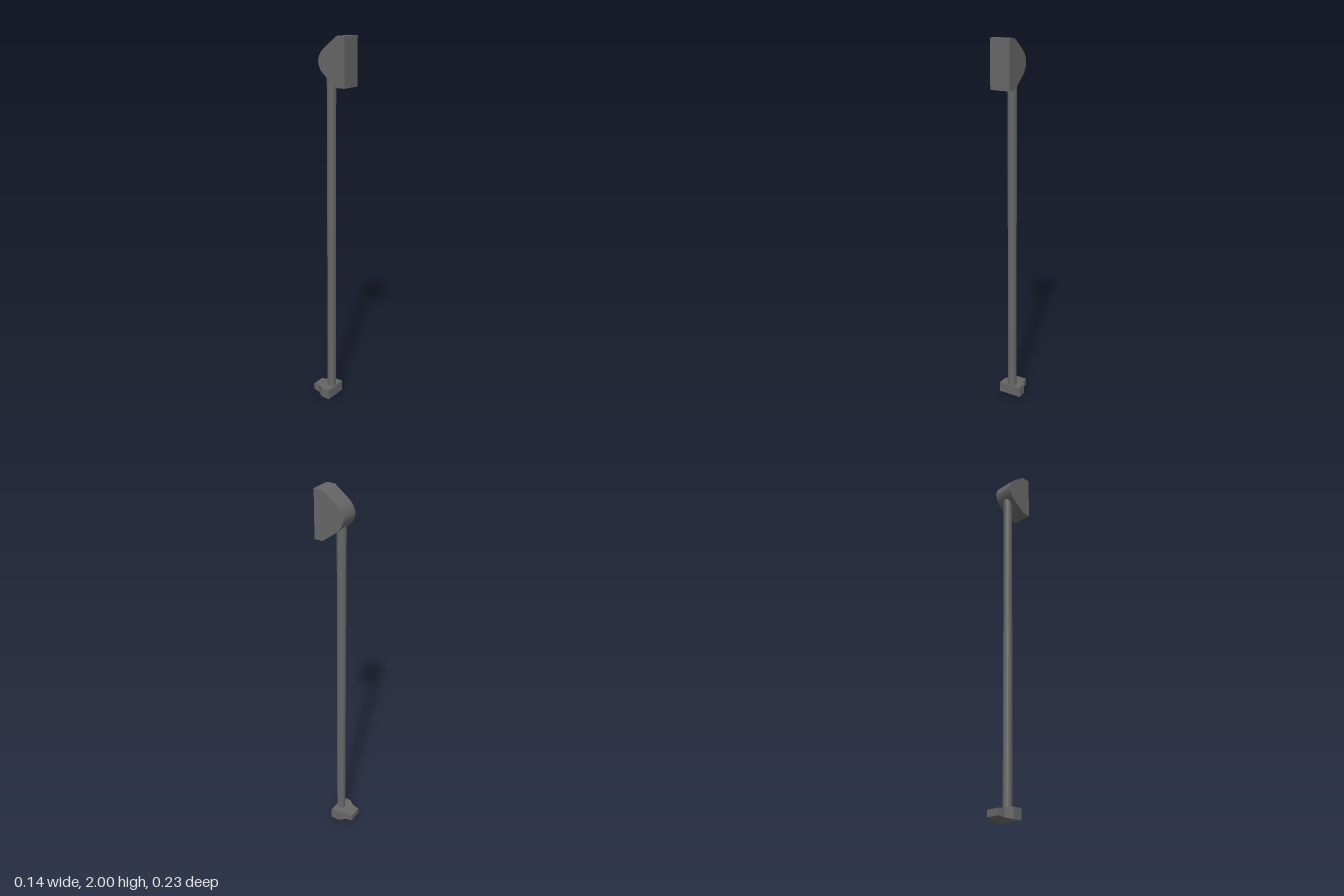
import * as THREE from 'three';
import { toCreasedNormals } from 'three/addons/utils/BufferGeometryUtils.js';

export function createModel() {
  const model = new THREE.Group();
  const grey = new THREE.MeshStandardMaterial({ color: 0x666666 });
  grey.name = 'darkGrey';

  const add = (name, geometry) => {
    const mesh = new THREE.Mesh(geometry, grey);
    mesh.name = name;
    model.add(mesh);
    return mesh;
  };

  // Head: flat front face, rounded back, extruded across its width
  const profile = new THREE.Shape();
  profile.moveTo(-0.105, 1.752);
  profile.lineTo(-0.058, 1.752);
  profile.splineThru([
    [0.02, 1.812], [0.045, 1.842], [0.055, 1.876],
    [0.045, 1.91], [0.02, 1.94], [-0.058, 2],
  ].map(([x, y]) => new THREE.Vector2(x, y)));
  profile.lineTo(-0.105, 2);
  profile.closePath();
  const head = new THREE.ExtrudeGeometry(profile, { depth: 0.11, bevelEnabled: false, curveSegments: 4 });
  head.translate(0, 0, -0.055).rotateY(Math.PI / 2);
  add('head', toCreasedNormals(head, Math.PI / 4));

  // Pole: reaches from the foot up into the head
  const pole = add('pole', new THREE.CylinderGeometry(0.024, 0.024, 1.82, 24));
  pole.position.set(0, 0.95, -0.0135);

  // Foot: wide plate in front, narrowing to a tongue at the back
  const half = [[0.065, -0.014], [0.065, 0.038], [0.041, 0.074], [0.0375, 0.112]];
  const outline = [...half, ...half.map(([x, y]) => [-x, y]).reverse()];
  const foot = new THREE.ExtrudeGeometry(
    new THREE.Shape(outline.map(([x, y]) => new THREE.Vector2(x, y))),
    { depth: 0.058, bevelEnabled: false },
  );
  foot.rotateX(-Math.PI / 2);
  // The tongue gets thinner towards its end
  const p = foot.attributes.position;
  for (let i = 0; i < p.count; i++) {
    const t = Math.max(0, (-0.038 - p.getZ(i)) / 0.074);
    p.setY(i, 0.029 + (p.getY(i) - 0.029) * (1 - 0.4 * t));
  }
  add('foot', toCreasedNormals(foot, 0.15));

  // The whole post is turned slightly to its left
  model.rotation.y = THREE.MathUtils.degToRad(10);
  const root = new THREE.Group();
  root.name = 'post';
  root.add(model);
  return root;
}
